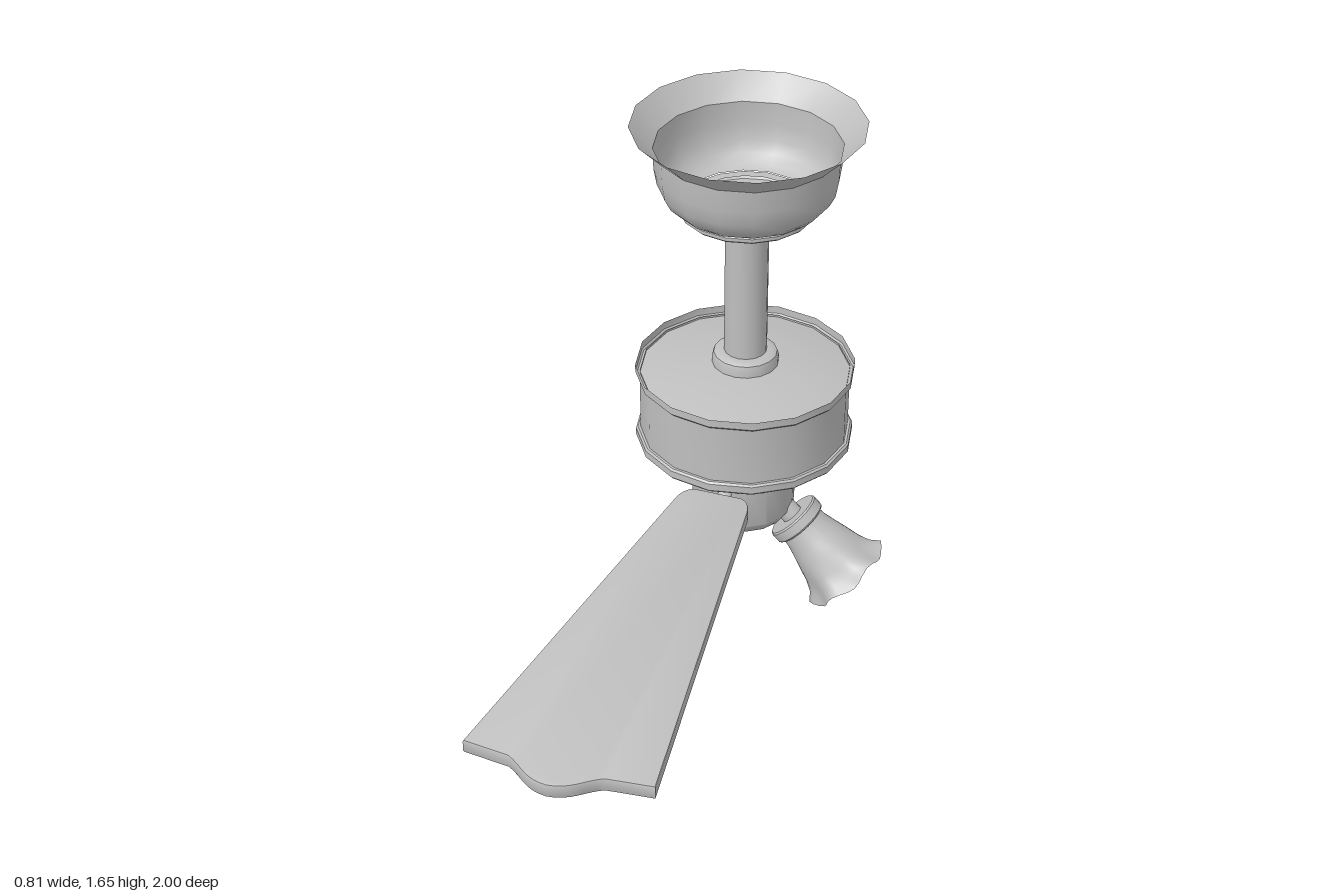
import * as THREE from 'three';
import { toCreasedNormals } from 'three/addons/utils/BufferGeometryUtils.js';

const metal = new THREE.MeshStandardMaterial({ color: 0xbfbfbf, side: THREE.DoubleSide });
metal.name = 'plain grey';

function add(parent, name, geometry) {
  const mesh = new THREE.Mesh(geometry, metal);
  mesh.name = name;
  parent.add(mesh);
  return mesh;
}

// Turned part from [radius, height] pairs, bottom to top
function turned(parent, name, profile, sides = 16) {
  const points = profile.map(([r, y]) => new THREE.Vector2(r, y));
  return add(parent, name, toCreasedNormals(new THREE.LatheGeometry(points, sides), 0.65));
}

function tube(parent, name, points, radius) {
  const curve = new THREE.CatmullRomCurve3(points.map((p) => new THREE.Vector3(...p)));
  return add(parent, name, new THREE.TubeGeometry(curve, 12, radius, 8));
}

// Flat outline given in x and z, thickened upwards from y
function slab(parent, name, shape, y, thickness, bevel) {
  const geometry = new THREE.ExtrudeGeometry(shape, {
    depth: thickness - 2 * bevel, bevelThickness: bevel, bevelSize: bevel,
    bevelOffset: -bevel, bevelSegments: 2, curveSegments: 8,
  });
  geometry.rotateX(Math.PI / 2).translate(0, y + thickness - bevel, 0);
  return add(parent, name, toCreasedNormals(geometry, 0.6));
}

function buildMount(fan) {
  turned(fan, 'canopy', [
    [0.2, 1.41], [0.225, 1.42], [0.25, 1.445], [0.268, 1.48], [0.277, 1.53], [0.28, 1.6], [0.35, 1.67],
  ]);
  turned(fan, 'canopyRing', [
    [0.115, 1.385], [0.195, 1.385], [0.203, 1.392], [0.203, 1.403], [0.195, 1.41], [0.165, 1.41],
  ]);
  turned(fan, 'rodCollarTop', [
    [0.065, 1.353], [0.1, 1.353], [0.112, 1.362], [0.115, 1.375], [0.115, 1.388], [0.066, 1.388],
  ]);
  turned(fan, 'downRod', [[0, 0.85], [0.066, 0.85], [0.066, 1.39], [0, 1.39]]);
  turned(fan, 'rodCollarBottom', [
    [0.103, 0.845], [0.103, 0.88], [0.098, 0.895], [0.085, 0.903], [0.064, 0.903],
  ]);
}

function buildMotor(fan) {
  turned(fan, 'motorBody', [[0.325, 0.61], [0.325, 0.83]]);
  turned(fan, 'motorTop', [[0.33, 0.822], [0.25, 0.84], [0.17, 0.853], [0.09, 0.86]].reverse());
  turned(fan, 'upperBand', [[0.325, 0.822], [0.334, 0.822], [0.339, 0.828], [0.339, 0.853]]);
  turned(fan, 'lowerBand', [
    [0.3, 0.588], [0.333, 0.588], [0.339, 0.595], [0.339, 0.618], [0.333, 0.624], [0.322, 0.624],
  ]);
  turned(fan, 'ventBowl', [[0, 0.532], [0.18, 0.532], [0.24, 0.556], [0.305, 0.592]]);

  // Curved ribs around the vent
  const ribs = new THREE.Group();
  ribs.name = 'ventRibs';
  fan.add(ribs);
  const count = 24;
  for (let i = 0; i < count; i++) {
    const rib = tube(ribs, 'ventRib', [
      [0.31, 0.59, 0], [0.28, 0.565, 0], [0.235, 0.54, 0], [0.18, 0.529, 0],
    ], 0.011);
    rib.rotation.y = (i / count) * Math.PI * 2;
  }
  turned(fan, 'hub', [[0.125, 0.475], [0.125, 0.535]]);
  turned(fan, 'switchHousing', [
    [0, 0.3], [0.132, 0.3], [0.14, 0.304], [0.163, 0.338], [0.163, 0.482], [0.12, 0.482],
  ]);
}

function buildBlade(fan) {
  // Flared blade with a scalloped tip
  const blade = new THREE.Shape();
  blade.moveTo(-0.075, 0.25);
  blade.lineTo(0.075, 0.25);
  blade.quadraticCurveTo(0.11, 0.26, 0.118, 0.32);
  blade.lineTo(0.279, 1.56);
  blade.lineTo(0.14, 1.575);
  blade.bezierCurveTo(0.09, 1.6, 0.07, 1.645, 0, 1.65);
  blade.bezierCurveTo(-0.07, 1.645, -0.09, 1.6, -0.14, 1.575);
  blade.lineTo(-0.279, 1.56);
  blade.lineTo(-0.118, 0.32);
  blade.quadraticCurveTo(-0.11, 0.26, -0.075, 0.25);
  slab(fan, 'blade', blade, 0.479, 0.045, 0.006);

  // Bracket plate under the root and its bent arm
  const plate = new THREE.Shape();
  plate.moveTo(-0.03, 0.25);
  plate.lineTo(0.03, 0.25);
  plate.quadraticCurveTo(0.05, 0.31, 0.11, 0.33);
  plate.quadraticCurveTo(0.13, 0.37, 0.09, 0.38);
  plate.quadraticCurveTo(0.03, 0.35, 0, 0.39);
  plate.quadraticCurveTo(-0.03, 0.35, -0.09, 0.38);
  plate.quadraticCurveTo(-0.13, 0.37, -0.11, 0.33);
  plate.quadraticCurveTo(-0.05, 0.31, -0.03, 0.25);
  slab(fan, 'bladeBracket', plate, 0.464, 0.018, 0.004);
  tube(fan, 'bladeArm', [
    [0, 0.472, 0.32], [0, 0.466, 0.27], [0, 0.458, 0.23], [0, 0.477, 0.18], [0, 0.502, 0.14], [0, 0.505, 0.1],
  ], 0.015).scale.x = 1.5;
}

function buildLamp(fan) {
  // Lamp axis points outwards and down at 45 degrees
  const lamp = new THREE.Group();
  lamp.name = 'lamp';
  lamp.position.set(0.165, 0.31, 0);
  lamp.rotation.z = -Math.PI * 0.75;
  fan.add(lamp);

  turned(lamp, 'lampArm', [[0.035, -0.1], [0.035, 0.01]]);
  turned(lamp, 'lampSocket', [
    [0, 0], [0.086, 0], [0.091, 0.005], [0.091, 0.036], [0.086, 0.042], [0.07, 0.042],
  ]);

  // Bell shade whose ripple grows towards the lip
  const profile = [
    [0.074, 0.035], [0.078, 0.07], [0.088, 0.11], [0.1, 0.155], [0.11, 0.2], [0.122, 0.238], [0.143, 0.27],
  ].map(([r, y]) => new THREE.Vector2(r, y));
  const shade = new THREE.LatheGeometry(profile, 36);
  const pos = shade.attributes.position;
  for (let i = 0; i < pos.count; i++) {
    const x = pos.getX(i), y = pos.getY(i), z = pos.getZ(i);
    const grow = Math.max(0, (y - 0.12) / 0.15) ** 2;
    const wave = Math.cos(6 * Math.atan2(x, z)) * grow;
    pos.setXYZ(i, x * (1 + 0.06 * wave), y - 0.012 * wave, z * (1 + 0.06 * wave));
  }
  add(lamp, 'lampShade', toCreasedNormals(shade, 1));

  turned(lamp, 'bulbNeck', [[0.04, 0.03], [0.045, 0.09], [0.065, 0.12]]);
  add(lamp, 'bulb', new THREE.SphereGeometry(0.083, 20, 14)).position.y = 0.165;
}

export function createModel() {
  const model = new THREE.Group();
  model.name = 'ceilingFan';
  const fan = new THREE.Group();
  fan.name = 'fanAssembly';
  fan.position.set(-0.06, 0, -0.65);
  model.add(fan);
  buildMount(fan);
  buildMotor(fan);
  buildBlade(fan);
  buildLamp(fan);
  return model;
}
